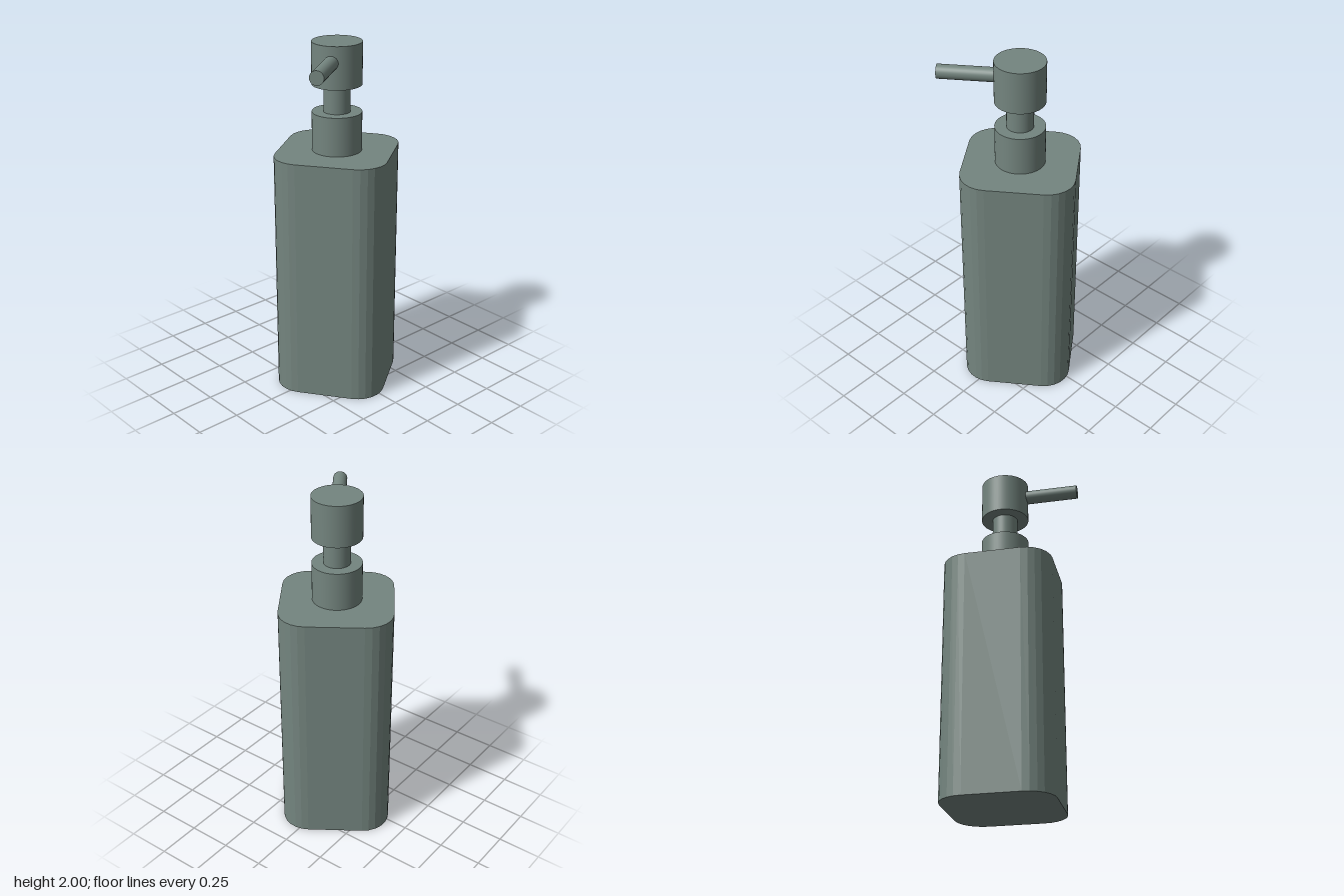
import * as THREE from 'three';

const material = new THREE.MeshStandardMaterial({ color: 0x74857f });

function addMesh(parent, name, geometry) {
  const mesh = new THREE.Mesh(geometry, material);
  mesh.name = name;
  parent.add(mesh);
  return mesh;
}

// Upright cylinder spanning y0 to y1
function addCylinder(parent, name, radius, y0, y1) {
  const mesh = addMesh(parent, name, new THREE.CylinderGeometry(radius, radius, y1 - y0, 48));
  mesh.position.y = (y0 + y1) / 2;
  return mesh;
}

// Square outline with arc corners
function roundedSquare(half, r) {
  const shape = new THREE.Shape();
  const c = half - r;
  [[c, c], [-c, c], [-c, -c], [c, -c]].forEach(([x, y], i) => {
    shape.absarc(x, y, r, i * Math.PI / 2, (i + 1) * Math.PI / 2, false);
  });
  shape.closePath();
  return shape;
}

export function createModel() {
  const model = new THREE.Group();
  model.name = 'soapDispenser';

  // The whole dispenser is turned about its upright axis
  const dispenser = new THREE.Group();
  dispenser.name = 'dispenser';
  dispenser.rotation.y = 0.602;
  dispenser.position.set(0, 0, -0.003);
  model.add(dispenser);

  // Bottle: faceted rounded-square prism
  const bottleGeometry = new THREE.ExtrudeGeometry(roundedSquare(0.312, 0.154), {
    depth: 1.395, bevelEnabled: false, curveSegments: 3,
  });
  bottleGeometry.rotateX(-Math.PI / 2);
  const bottle = addMesh(dispenser, 'bottle', bottleGeometry);
  bottle.position.z = -0.005;

  // Pump
  addCylinder(dispenser, 'collar', 0.138, 1.38, 1.613);
  addCylinder(dispenser, 'stem', 0.074, 1.6, 1.78);
  addCylinder(dispenser, 'pumpHead', 0.138, 1.765, 2);

  // Nozzle: straight horizontal tube out of the pump head
  const nozzleGeometry = new THREE.CylinderGeometry(0.039, 0.039, 0.337, 32);
  nozzleGeometry.rotateX(Math.PI / 2);
  const nozzle = addMesh(dispenser, 'nozzle', nozzleGeometry);
  nozzle.position.set(0, 1.91, 0.1 + 0.337 / 2);

  return model;
}
